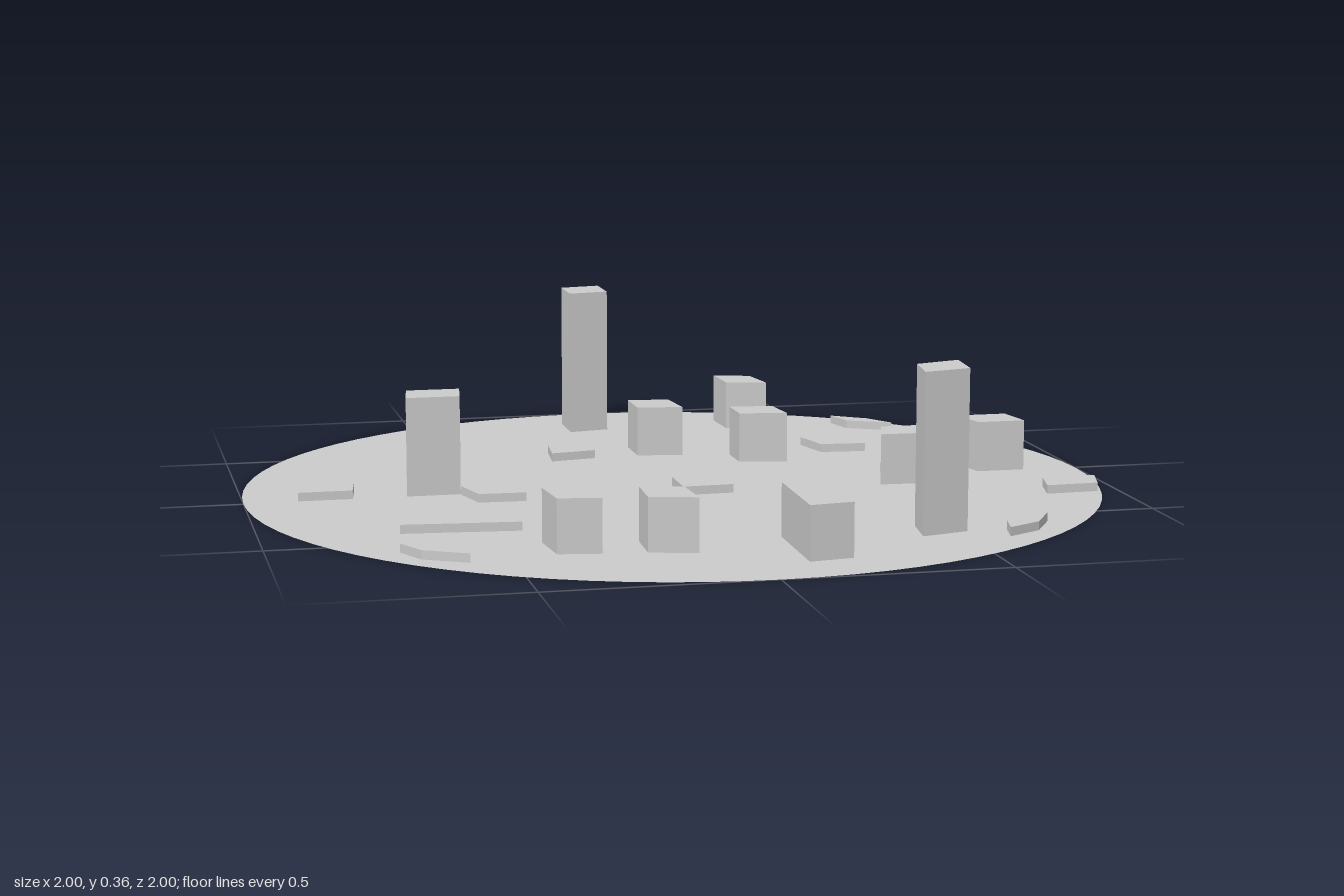
import * as THREE from 'three';

// Footprints grouped by height: four x,z corners each, clockwise seen from above
const towers = [
  [-.10, -.86, 0, -.88, 0, -.76, -.10, -.74],
  [.42, .56, .525, .525, .515, .64, .405, .67],
];
const midTowers = [[-.61, -.11, -.485, -.11, -.50, -.005, -.625, -.005]];
const blocks = [
  [.30, -.83, .39, -.80, .405, -.685, .305, -.71],
  [0, -.50, .10, -.485, .11, -.37, 0, -.385],
  [.225, -.35, .33, -.335, .34, -.23, .225, -.25],
  [.51, 0, .625, 0, .60, .105, .48, .10],
  [.735, -.105, .855, -.105, .87, -.005, .755, -.005],
  [-.41, .55, -.31, .565, -.305, .685, -.40, .67],
  [-.205, .585, -.11, .605, -.105, .725, -.21, .695],
  [.105, .605, .205, .585, .20, .84, .10, .855],
];
const slabs = [
  [.59, -.72, .67, -.66, .715, -.585, .61, -.64],
  [-.505, -.635, -.41, -.68, -.415, -.56, -.525, -.535],
  [-.21, -.465, -.11, -.485, -.11, -.375, -.22, -.355],
  [.43, -.435, .55, -.41, .565, -.32, .455, -.33],
  [-.86, -.105, -.735, -.105, -.75, -.005, -.875, -.005],
  [-.50, 0, -.38, 0, -.365, .105, -.475, .10],
  [0, 0, .125, 0, .12, .115, 0, .12],
  [.845, .20, .975, .195, .95, .285, .825, .29],
  [-.68, .30, -.45, .32, -.43, .42, -.695, .395],
  [-.72, .58, -.605, .64, -.59, .71, -.685, .655],
  [.605, .64, .72, .58, .67, .665, .59, .71],
];

const toCorners = (f) => [0, 2, 4, 6].map((i) => [f[i], f[i + 1]]);

// Hollow block, open underneath: four walls and a roof
function hollowBlock(corners, height) {
  const pos = [];
  const quad = (a, b, c, d) => pos.push(...a, ...b, ...c, ...a, ...c, ...d);
  const low = corners.map(([x, z]) => [x, 0, z]);
  const top = corners.map(([x, z]) => [x, height, z]);
  for (let i = 0; i < 4; i++) {
    const j = (i + 1) % 4;
    quad(low[j], low[i], top[i], top[j]);
  }
  quad(top[0], top[3], top[2], top[1]);
  const geo = new THREE.BufferGeometry();
  geo.setAttribute('position', new THREE.Float32BufferAttribute(pos, 3));
  geo.computeVertexNormals();
  return geo;
}

export function createModel() {
  const model = new THREE.Group();
  const material = new THREE.MeshStandardMaterial({
    color: 0xcccccc, flatShading: true, side: THREE.DoubleSide,
  });

  // Thin round ground sheet, cut open below every block
  const sheet = new THREE.Shape().absarc(0, 0, 1, 0, Math.PI * 2);

  const layers = [
    ['tower', towers, 0.36],
    ['midTower', midTowers, 0.23],
    ['block', blocks, 0.12],
    ['slab', slabs, 0.02],
  ];
  for (const [name, footprints, height] of layers) {
    const group = new THREE.Group();
    group.name = `${name}Group`;
    for (const footprint of footprints) {
      const corners = toCorners(footprint);
      const mesh = new THREE.Mesh(hollowBlock(corners, height), material);
      mesh.name = name;
      group.add(mesh);
      sheet.holes.push(new THREE.Path(corners.map(([x, z]) => new THREE.Vector2(x, -z))));
    }
    model.add(group);
  }

  const ground = new THREE.Mesh(new THREE.ShapeGeometry(sheet, 40).rotateX(-Math.PI / 2), material);
  ground.name = 'groundDisc';
  model.add(ground);
  return model;
}
